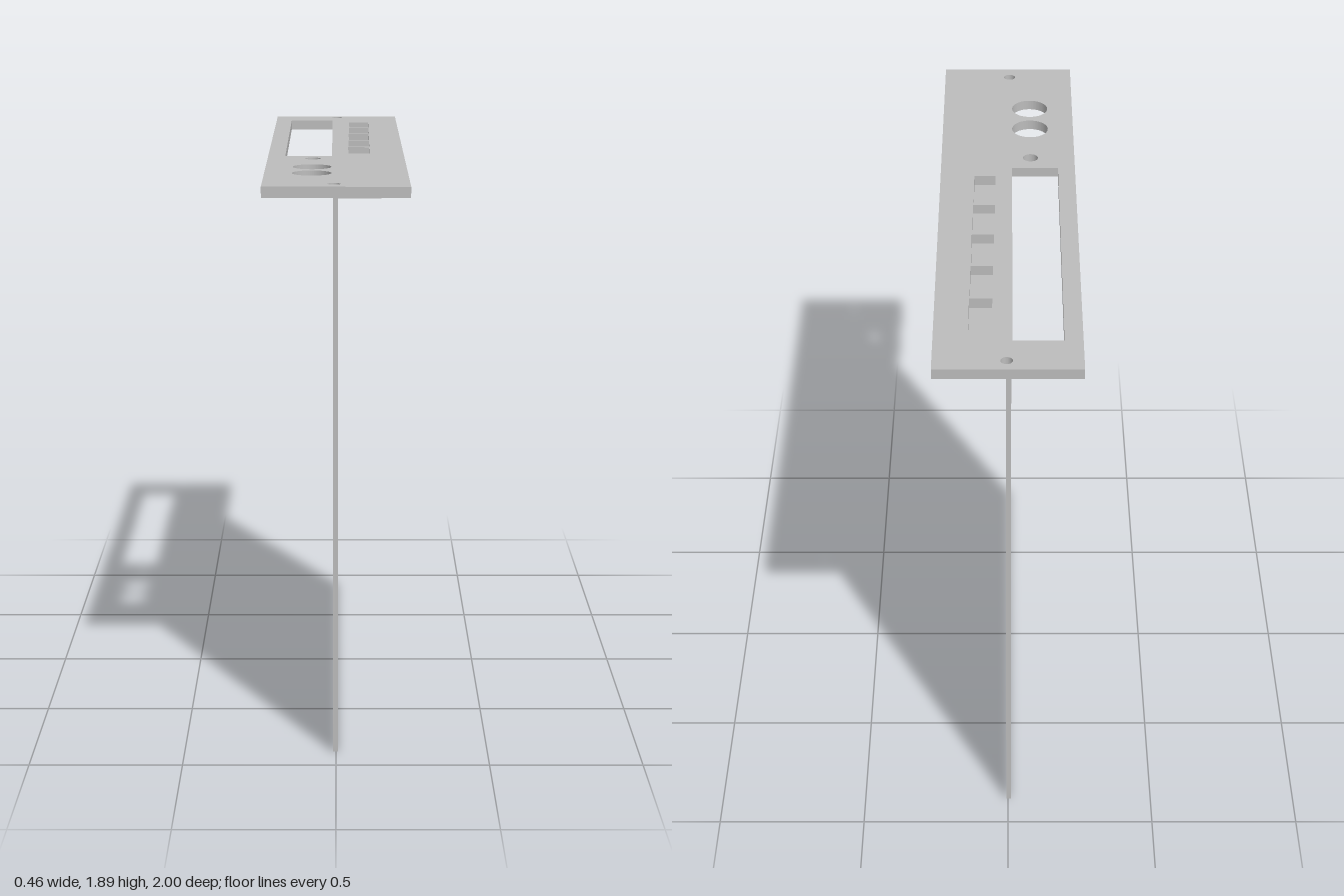
import * as THREE from 'three';

// Rectangle outline from x/z limits (shape y is -z)
function rect(target, x0, x1, z0, z1) {
  target.moveTo(x0, -z1);
  target.lineTo(x1, -z1);
  target.lineTo(x1, -z0);
  target.lineTo(x0, -z0);
  target.closePath();
  return target;
}

export function createModel() {
  const group = new THREE.Group();
  const metal = new THREE.MeshStandardMaterial({ color: 0xbcbcbc });
  metal.name = 'grey metal';

  function add(name, geometry) {
    const mesh = new THREE.Mesh(geometry, metal);
    mesh.name = name;
    group.add(mesh);
    return mesh;
  }

  function box(name, x0, x1, y0, y1, z0, z1) {
    add(name, new THREE.BoxGeometry(x1 - x0, y1 - y0, z1 - z0))
      .position.set((x0 + x1) / 2, (y0 + y1) / 2, (z0 + z1) / 2);
  }

  // Face plate with its cut-outs
  const plate = rect(new THREE.Shape(), -0.23, 0.23, -1, 1);
  plate.holes.push(rect(new THREE.Path(), -0.172, -0.014, -0.844, 0.242));

  // Row of five small slots, drifting slightly in x
  for (let i = 0; i < 5; i++) {
    const x = 0.049 - i * 0.0018;
    const z = -0.784 + i * 0.197;
    plate.holes.push(rect(new THREE.Path(), x, x + 0.073, z, z + 0.18));
  }

  // Round holes: x, z, radius
  for (const [x, z, r] of [
    [0.004, -0.953, 0.019],
    [-0.078, 0.315, 0.026],
    [-0.078, 0.529, 0.063],
    [-0.078, 0.683, 0.063],
    [-0.006, 0.935, 0.02],
  ]) {
    plate.holes.push(new THREE.Path().absarc(x, -z, r, 0, Math.PI * 2, true));
  }

  const plateGeometry = new THREE.ExtrudeGeometry(plate, {
    depth: 0.034, bevelEnabled: false, curveSegments: 32,
  });
  plateGeometry.rotateX(-Math.PI / 2);
  add('facePlate', plateGeometry).position.y = 1.858;

  // Upright sheet and the narrow flange folded from its top
  box('uprightSheet', -0.01, 0.006, 0, 1.858, -0.887, 0.887);
  box('topFlange', 0.006, 0.142, 1.839, 1.853, -0.887, 0.887);

  return group;
}
